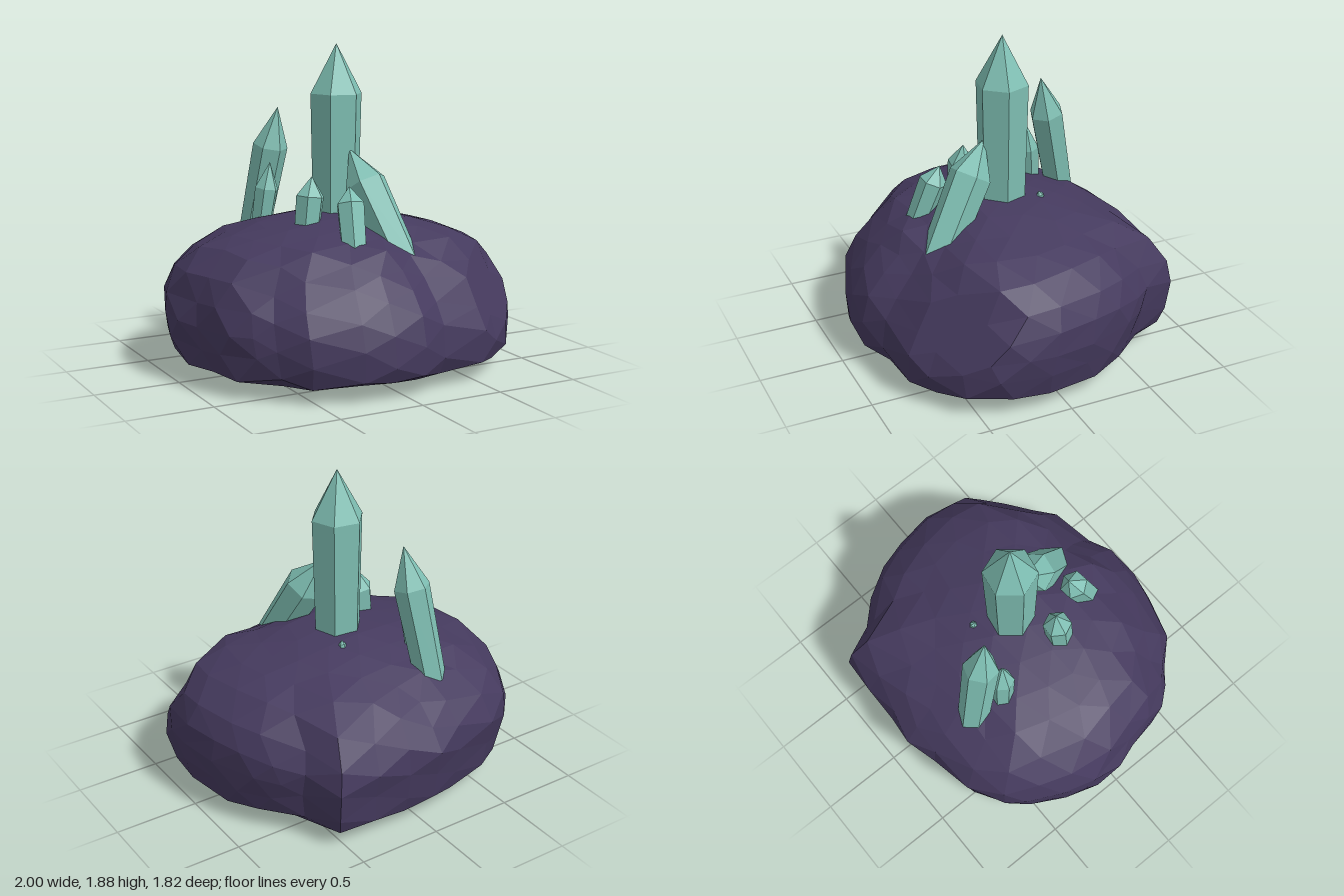
import * as THREE from 'three';

const rockMaterial = new THREE.MeshStandardMaterial({ color: 0x453a5e, flatShading: true });
const crystalMaterial = new THREE.MeshStandardMaterial({ color: 0x7fbfb3, flatShading: true });

// Rock plan outline as [x, z], turned into [angle, radius] rows
const OUTLINE = [
  [1, 0.1], [0.935, 0.49], [0.55, 0.79], [0.25, 0.83], [0, 0.91], [-0.28, 0.87], [-0.56, 0.78],
  [-0.69, 0.63], [-0.79, 0.56], [-0.88, 0.45], [-0.95, 0.15], [-1, 0], [-1, -0.18], [-0.865, -0.52],
  [-0.74, -0.7], [-0.54, -0.81], [-0.27, -0.87], [0, -0.92], [0.24, -0.885], [0.565, -0.895],
  [0.66, -0.66], [0.85, -0.44], [0.96, -0.15],
].map(([x, z]) => [(Math.atan2(z, x) + 2 * Math.PI) % (2 * Math.PI), Math.hypot(x, z)])
  .sort((a, b) => a[0] - b[0]);

// Outline closed on both ends so that every angle falls inside the table
const first = OUTLINE[0], last = OUTLINE[OUTLINE.length - 1];
const CLOSED = [[last[0] - 2 * Math.PI, last[1]], ...OUTLINE, [first[0] + 2 * Math.PI, first[1]]];

// Rock profile as [elevation in degrees, y, x scale, z scale, z shift]
const PROFILE = [
  [-90, 0, 0, 0, 0], [-75, 0.002, 0.22, 0.22, 0], [-56, 0.012, 0.46, 0.46, 0],
  [-42, 0.045, 0.74, 0.71, 0], [-30, 0.085, 0.94, 0.92, 0.01], [-20, 0.13, 0.96, 0.97, 0.025],
  [-8, 0.28, 0.995, 0.98, 0.02], [8, 0.45, 1, 0.98, -0.02], [25, 0.63, 0.925, 0.84, -0.04],
  [40, 0.765, 0.765, 0.665, 0], [60, 0.85, 0.46, 0.42, 0], [75, 0.9, 0.22, 0.25, 0], [90, 0.91, 0, 0, 0],
];

// Flat chipped face at the front left corner
const CHIP = new THREE.Plane(new THREE.Vector3(0.55, 0.46, 0.7).normalize(), -0.985);

// Linear lookup in a table sorted by its first column
function lookup(table, key) {
  const i = Math.max(1, table.findIndex((row) => row[0] >= key));
  const a = table[i - 1], b = table[i];
  const t = THREE.MathUtils.clamp((key - a[0]) / (b[0] - a[0]), 0, 1);
  return a.map((v, k) => THREE.MathUtils.lerp(v, b[k], t));
}

// Repeatable roughness, equal for corners that share a place
function noise(p, seed) {
  const q = Math.round(p.x * 100) * 1.27 + Math.round(p.y * 100) * 3.11 + Math.round(p.z * 100) * 7.43;
  const s = Math.sin(q + seed * 17.7) * 4375.85;
  return (s - Math.floor(s)) * 2 - 1;
}

// Faceted boulder: a subdivided icosahedron pushed onto the outline and profile
function makeRock() {
  const geometry = new THREE.IcosahedronGeometry(1, 4);
  geometry.rotateY(0.096); // brings a corner onto the sharp back corner of the outline
  const pos = geometry.attributes.position;
  const p = new THREE.Vector3(), v = new THREE.Vector3();
  for (let i = 0; i < pos.count; i++) {
    p.fromBufferAttribute(pos, i).normalize();
    let angle = (Math.atan2(p.z, p.x) + 2 * Math.PI) % (2 * Math.PI);
    // Around the sides, pull nearby corners onto the outline points to keep its ridges
    const ridge = CLOSED.find((row) => Math.abs(row[0] - angle) < 0.075);
    if (ridge && Math.abs(p.y) < 0.75) angle = ridge[0];
    const elevation = THREE.MathUtils.radToDeg(Math.asin(THREE.MathUtils.clamp(p.y, -1, 1)));
    const radius = lookup(CLOSED, angle)[1] * (1 + 0.006 * noise(p, 1));
    const [, y, sx, sz, dz] = lookup(PROFILE, elevation);
    const rough = p.y > 0.7 ? 0.006 : p.y < -0.5 ? 0 : 0.014;
    v.set(Math.cos(angle) * radius * sx, y + rough * noise(p, 2), Math.sin(angle) * radius * sz + dz);
    // Shallow hollow under the front crystal
    if (p.y > 0) v.y -= 0.055 * Math.exp(-((v.x - 0.28) ** 2 + (v.z - 0.55) ** 2) / 0.04);
    if (CHIP.distanceToPoint(v) > 0) CHIP.projectPoint(v, v);
    pos.setXYZ(i, v.x, v.y, v.z);
  }
  geometry.computeVertexNormals();
  const rock = new THREE.Mesh(geometry, rockMaterial);
  rock.name = 'rock';
  return rock;
}

// Six-sided crystal from base to tip; shoulder is the fraction where the point begins
function makeCrystal({ name, base, tip, radius, shoulder, turn }) {
  const from = new THREE.Vector3(...base);
  const axis = new THREE.Vector3(...tip).sub(from);
  const h = axis.length();
  const profile = [[0, 0], [radius * 0.88, 0], [radius, h * shoulder], [0, h]];
  const geometry = new THREE.LatheGeometry(
    profile.map(([r, y]) => new THREE.Vector2(r, y)), 6, THREE.MathUtils.degToRad(turn));
  const crystal = new THREE.Mesh(geometry, crystalMaterial);
  crystal.name = name;
  crystal.position.copy(from);
  crystal.quaternion.setFromUnitVectors(new THREE.Vector3(0, 1, 0), axis.normalize());
  return crystal;
}

const CRYSTALS = [
  { name: 'mainCrystal', base: [0.015, 0.75, -0.025], tip: [0.02, 1.88, -0.025], radius: 0.156, shoulder: 0.745, turn: 20 },
  { name: 'frontCrystal', base: [0.195, 0.62, 0.475], tip: [0.04, 1.28, 0.095], radius: 0.125, shoulder: 0.71, turn: 20 },
  { name: 'backCrystal', base: [-0.275, 0.7, -0.55], tip: [-0.19, 1.49, -0.375], radius: 0.105, shoulder: 0.7, turn: 10 },
  { name: 'backSmallCrystal', base: [-0.315, 0.76, -0.36], tip: [-0.27, 1.17, -0.32], radius: 0.072, shoulder: 0.62, turn: 25 },
  { name: 'sideSmallCrystal', base: [-0.26, 0.76, 0.13], tip: [-0.215, 1.14, 0.12], radius: 0.085, shoulder: 0.7, turn: 25 },
  { name: 'frontSmallCrystal', base: [-0.125, 0.72, 0.465], tip: [-0.085, 1.1, 0.325], radius: 0.085, shoulder: 0.75, turn: 35 },
  { name: 'tinyCrystal', base: [0.125, 0.82, -0.25], tip: [0.115, 0.915, -0.215], radius: 0.022, shoulder: 0.75, turn: 0 },
];

export function createModel() {
  const model = new THREE.Group();
  model.name = 'crystalRock';
  model.add(makeRock(), ...CRYSTALS.map(makeCrystal));
  return model;
}
